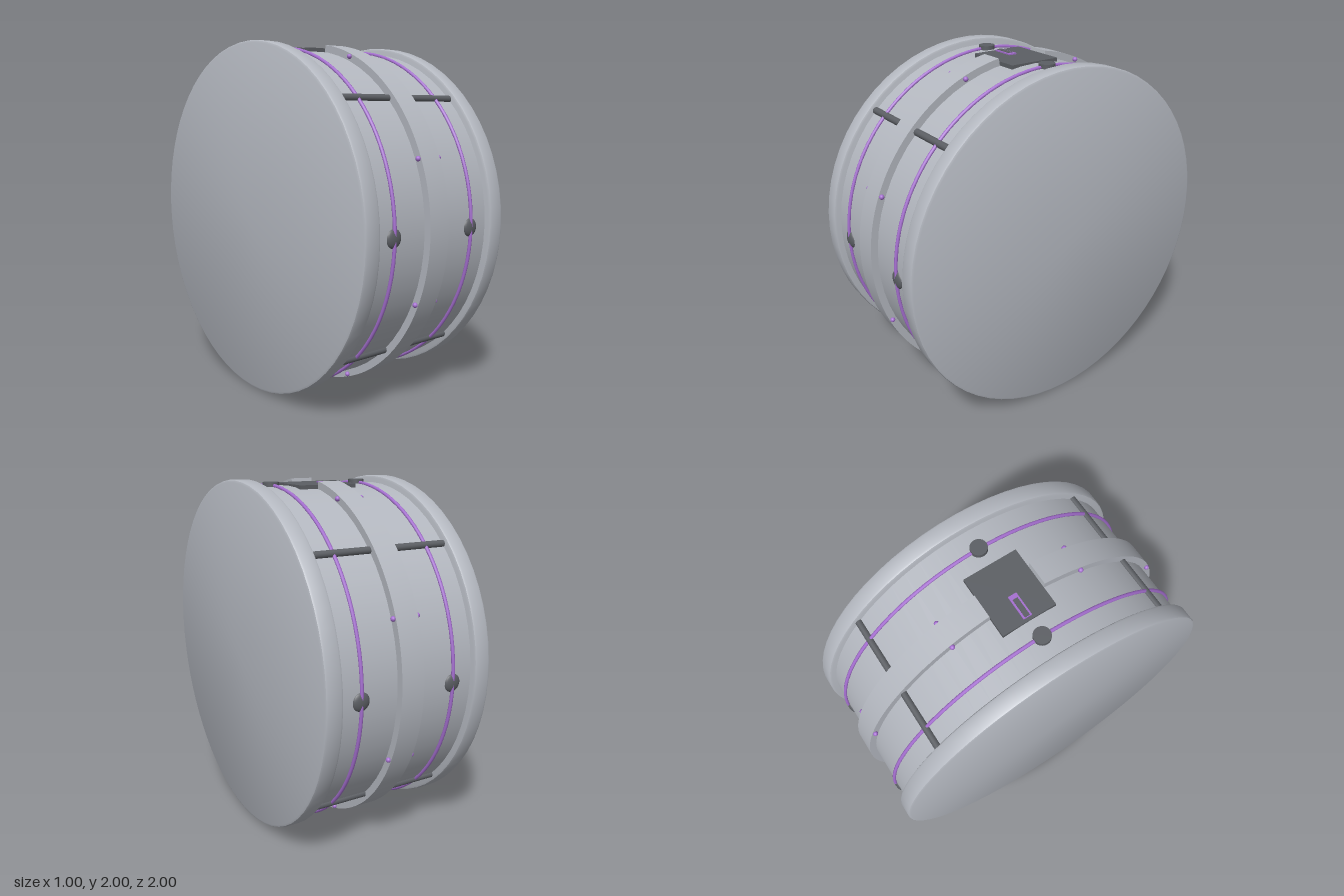
import * as THREE from 'three';
import { toCreasedNormals } from 'three/addons/utils/BufferGeometryUtils.js';

const material = (name, color) => Object.assign(new THREE.MeshStandardMaterial({ color }), { name });

export function createModel() {
  const shell = material('shell grey', 0xb4b8c0);
  const dark = material('dark grey', 0x5c5f64);
  const violet = material('violet', 0xa56fd0);

  // Everything is laid out around the drum axis (x), then lifted to stand on y = 0
  const model = new THREE.Group();
  model.name = 'drum';
  const add = (name, geometry, mat, x = 0, y = 0, z = 0) => {
    const mesh = new THREE.Mesh(geometry, mat);
    mesh.name = name;
    mesh.position.set(x, y + 1, z);
    model.add(mesh);
    return mesh;
  };
  const DRUM = 0.96;

  // Main barrel
  add('barrel', new THREE.CylinderGeometry(DRUM, DRUM, 0.82, 64, 1, true).rotateZ(Math.PI / 2), shell);

  // End flanges with softened rims and closed faces
  const rim = [[0, -0.05], [0.985, -0.05], [0.996, -0.045], [1, -0.035],
    [1, 0.035], [0.996, 0.045], [0.985, 0.05], [0, 0.05]].map(([r, h]) => new THREE.Vector2(r, h));
  const flange = toCreasedNormals(new THREE.LatheGeometry(rim, 64).rotateZ(Math.PI / 2), 0.7);
  for (const side of [-1, 1]) add('endFlange', flange, shell, side * 0.45);

  // Centre band: two half hoops, broken at the top and bottom plates
  const gap = 0.16;
  for (const start of [-Math.PI / 2, Math.PI / 2]) {
    const arc = new THREE.Shape();
    arc.absarc(0, 0, 1, start + gap, start + Math.PI - gap, false);
    arc.absarc(0, 0, 0.94, start + Math.PI - gap, start + gap, true);
    const hoop = new THREE.ExtrudeGeometry(arc, { depth: 0.134, bevelEnabled: false, curveSegments: 32 });
    hoop.translate(0, 0, -0.067).rotateY(Math.PI / 2);
    add('centreBand', toCreasedNormals(hoop, 0.5), shell);
  }

  // Light rings with a stud at each quarter
  const ring = new THREE.TorusGeometry(0.965, 0.01, 8, 96).rotateY(Math.PI / 2);
  const disc = new THREE.CylinderGeometry(0.046, 0.046, 0.04, 24);
  const dome = new THREE.SphereGeometry(0.05, 24, 16).scale(1, 1, 0.4);
  for (const x of [-0.28, 0.28]) {
    add('lightRing', ring, violet, x);
    for (const s of [-1, 1]) {
      add('flatStud', disc, dark, x, s * 0.962, 0);
      add('domeStud', dome, dark, x, 0, s * 0.955);
    }
  }

  // Cross rods on the diagonals
  const rod = new THREE.CylinderGeometry(0.02, 0.02, 0.82, 16).rotateZ(Math.PI / 2);
  for (let i = 0; i < 4; i++) {
    const a = Math.PI / 4 + i * Math.PI / 2;
    add('crossRod', rod, dark, 0, DRUM * Math.sin(a), DRUM * Math.cos(a));
  }

  // Small lamps along both edges of the centre band
  const lamp = new THREE.SphereGeometry(0.014, 12, 8);
  for (let i = 0; i < 8; i++) {
    const a = Math.PI / 8 + i * Math.PI / 4;
    for (const s of [-1, 1]) add('bandLamp', lamp, violet, s * 0.073, 0.985 * Math.sin(a), 0.985 * Math.cos(a));
  }

  // Top control plate with its display
  add('topPlate', new THREE.BoxGeometry(0.355, 0.022, 0.306), dark, -0.002, 0.958, -0.003);
  add('displayFrame', new THREE.BoxGeometry(0.138, 0.008, 0.048), violet, -0.094, 0.972, -0.003);
  add('displayScreen', new THREE.BoxGeometry(0.108, 0.008, 0.028), dark, -0.105, 0.975, -0.003);

  // Bottom vent plate with slats running along the axis
  add('ventPlate', new THREE.BoxGeometry(0.26, 0.02, 0.2), dark, 0, -0.955, 0);
  const slat = new THREE.BoxGeometry(0.25, 0.01, 0.014);
  for (let i = -3; i <= 3; i++) add('ventSlat', slat, dark, 0, -0.967, i * 0.028);

  return model;
}
